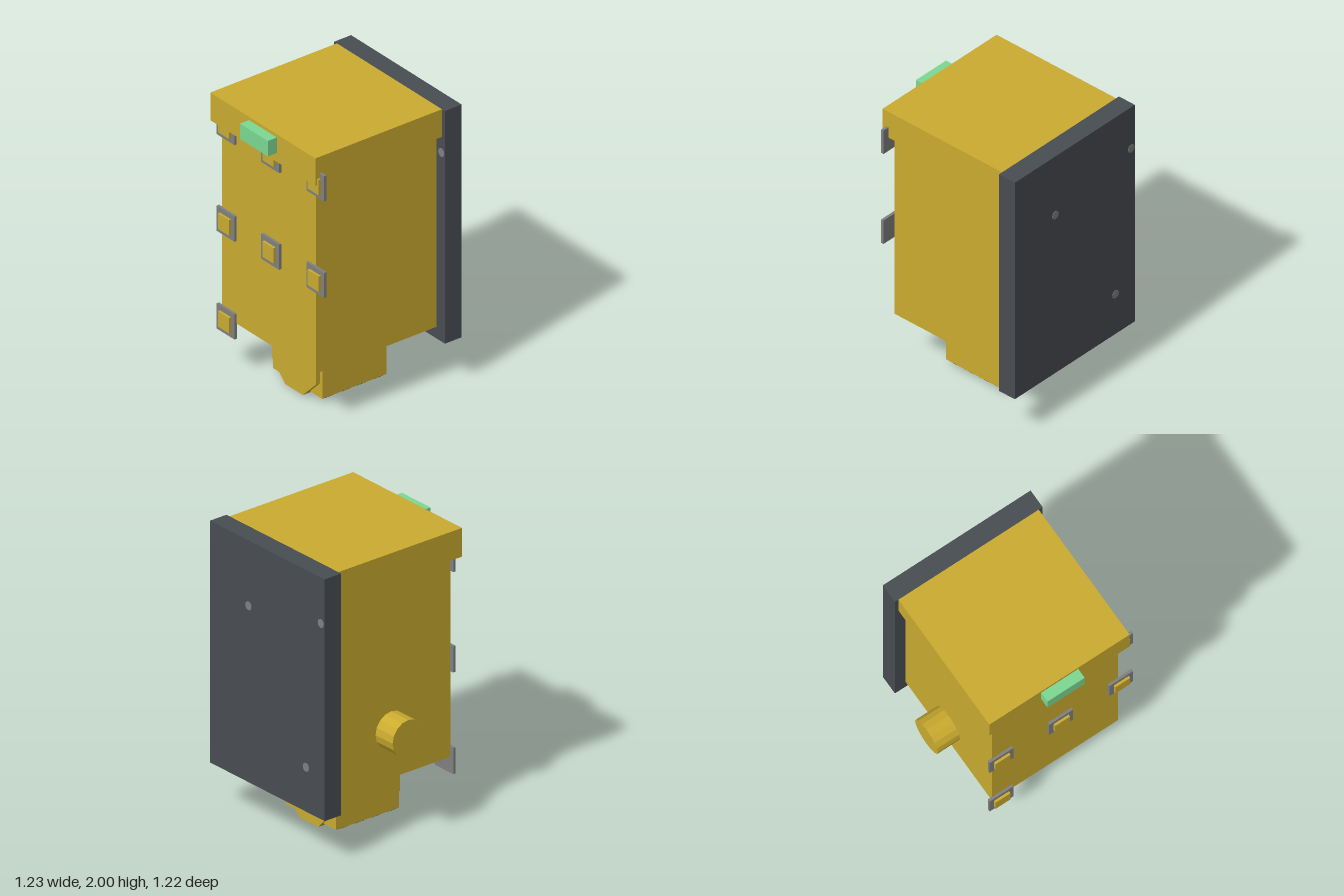
import * as THREE from 'three';

const material = (name, color) => {
  const m = new THREE.MeshStandardMaterial({ color });
  m.name = name;
  return m;
};

// Box given by its extents on each axis
function block(name, mat, [x0, x1], [y0, y1], [z0, z1]) {
  const mesh = new THREE.Mesh(new THREE.BoxGeometry(x1 - x0, y1 - y0, z1 - z0), mat);
  mesh.position.set((x0 + x1) / 2, (y0 + y1) / 2, (z0 + z1) / 2);
  mesh.name = name;
  return mesh;
}

// Faceted cylinder
function facetedCylinder(name, mat, radius, length, sides) {
  const geo = new THREE.CylinderGeometry(radius, radius, length, sides).toNonIndexed();
  geo.computeVertexNormals();
  const mesh = new THREE.Mesh(geo, mat);
  mesh.name = name;
  return mesh;
}

export function createModel() {
  const gold = material('gold', 0xcaab2f);
  const charcoal = material('charcoal', 0x484d53);
  const grey = material('grey', 0x808080);
  const green = material('green', 0x7dd893);
  const model = new THREE.Group();
  model.name = 'box';

  // Main case, lid, back plate and light
  model.add(
    block('body', gold, [-0.45, 0.51], [0.4, 1.8], [-0.475, 0.49]),
    block('lid', gold, [-0.505, 0.565], [1.8, 2], [-0.475, 0.54]),
    block('backPlate', charcoal, [-0.532, 0.595], [0.315, 2], [-0.61, -0.475]),
    block('light', green, [-0.11, 0.173], [1.865, 1.977], [0.54, 0.612]),
  );

  // Square studs on the front: grey frame with a raised gold centre
  const studs = [];
  for (const x of [-0.39, 0.064, 0.523]) for (const y of [1.09, 1.79]) studs.push([x, y]);
  studs.push([-0.39, 0.382]);
  for (const [x, y] of studs) {
    const stud = new THREE.Group();
    stud.name = 'stud';
    stud.add(
      block('studFrame', grey, [x - 0.091, x + 0.091], [y - 0.091, y + 0.091], [0.488, 0.508]),
      block('studCentre', gold, [x - 0.057, x + 0.057], [y - 0.056, y + 0.056], [0.508, 0.525]),
    );
    model.add(stud);
  }

  // Round knob on the right side
  const knob = facetedCylinder('knob', gold, 0.128, 0.18, 16);
  knob.rotation.z = Math.PI / 2;
  knob.position.set(-0.528, 0.737, 0.004);
  model.add(knob);

  // Screw heads in the back plate, plus one at the front edge
  const screws = [[0.215, 1.545, -0.61], [-0.497, 1.68, -0.61], [-0.35, 0.625, -0.61], [0.56, 1.685, -0.475]];
  for (const [x, y, z] of screws) {
    const screw = facetedCylinder('screw', grey, 0.03, 0.006, 12);
    screw.rotation.x = Math.PI / 2;
    screw.position.set(x, y, z);
    model.add(screw);
  }

  // Foot block with dark bars underneath
  model.add(block('foot', gold, [-0.22, 0.28], [0.033, 0.42], [-0.255, 0.26]));
  for (let i = 0; i < 4; i++) {
    const z = -0.19 + i * 0.13;
    model.add(block('footBar', charcoal, [-0.218, 0.278], [0.03, 0.036], [z - 0.037, z + 0.037]));
  }

  // Octagonal core running through the foot
  const outline = [[-0.06, 0], [0.12, 0], [0.255, 0.135], [0.255, 0.325],
    [0.12, 0.46], [-0.06, 0.46], [-0.195, 0.325], [-0.195, 0.135]];
  const core = new THREE.Mesh(
    new THREE.ExtrudeGeometry(new THREE.Shape(outline.map(([x, y]) => new THREE.Vector2(x, y))),
      { depth: 0.56, bevelEnabled: false }), gold);
  core.position.z = -0.27;
  core.name = 'footCore';
  model.add(core);

  return model;
}
